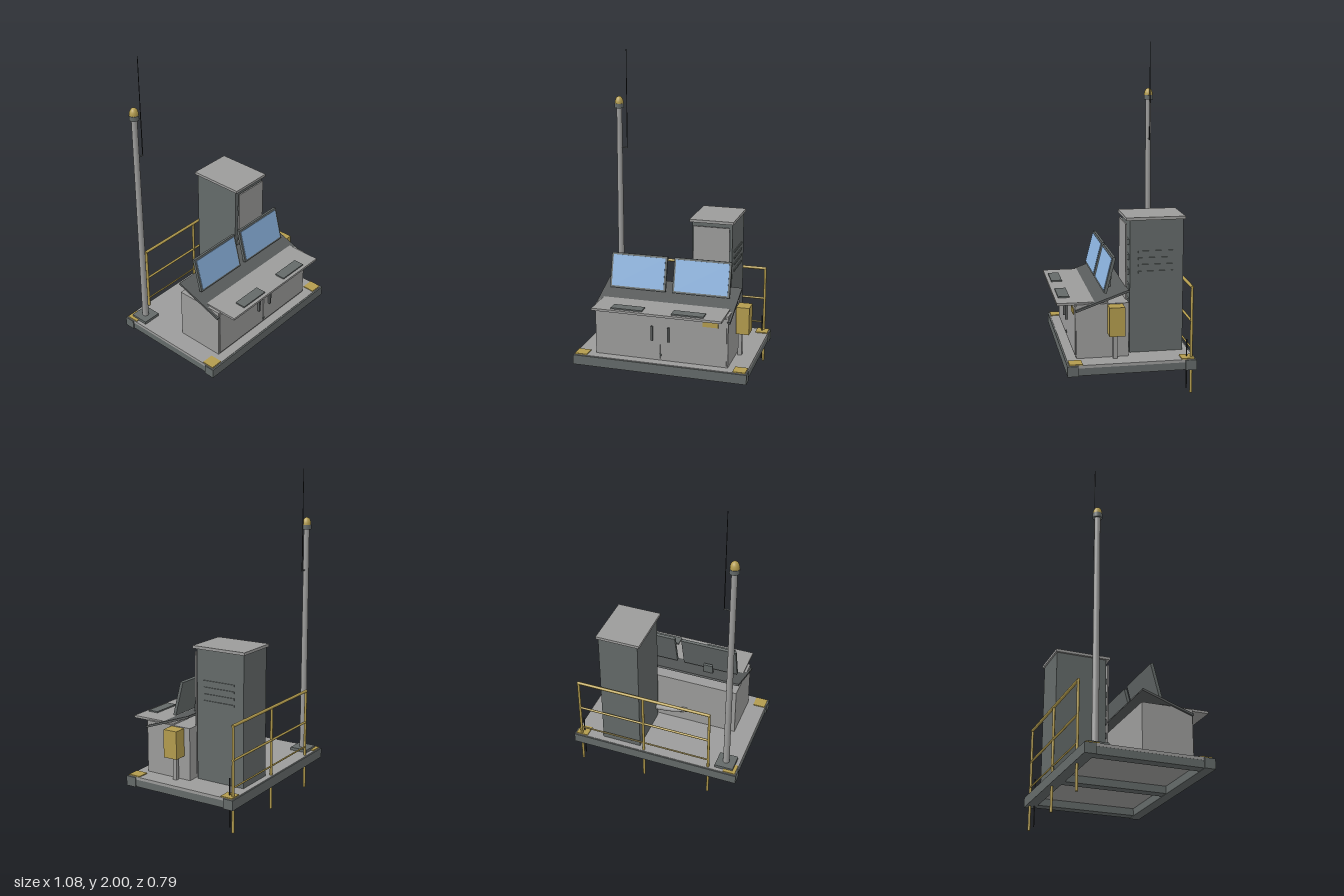
import * as THREE from 'three';

export function createModel() {
  const root = new THREE.Group();
  root.name = 'controlStation';

  const mat = (name, color) => {
    const m = new THREE.MeshStandardMaterial({ color });
    m.name = name;
    return m;
  };
  const light = mat('light grey paint', 0x9c9c9b);
  const dark = mat('dark grey steel', 0x646a69);
  const slate = mat('slate panel', 0x585b5b);
  const yellow = mat('safety yellow', 0xb39c4e);
  const blue = mat('screen blue', 0x8cb4e0);
  const black = mat('black', 0x26282a);

  const add = (name, geo, material, parent = root) => {
    const m = new THREE.Mesh(geo, material);
    m.name = name;
    parent.add(m);
    return m;
  };
  // Box given by its limits on each axis
  const box = (name, material, [x0, x1], [y0, y1], [z0, z1], parent = root) => {
    const m = add(name, new THREE.BoxGeometry(x1 - x0, y1 - y0, z1 - z0), material, parent);
    m.position.set((x0 + x1) / 2, (y0 + y1) / 2, (z0 + z1) / 2);
    return m;
  };
  // Round bar between two points
  const bar = (name, material, a, b, r0, r1 = r0, sides = 16) => {
    const p = new THREE.Vector3(...a), q = new THREE.Vector3(...b);
    const d = q.clone().sub(p);
    const m = add(name, new THREE.CylinderGeometry(r1, r0, d.length(), sides), material);
    m.position.copy(p).add(q).multiplyScalar(0.5);
    m.quaternion.setFromUnitVectors(new THREE.Vector3(0, 1, 0), d.normalize());
    return m;
  };

  // Skid: long beams, cross beams and deck
  box('frontBeam', dark, [-0.54, 0.54], [0.15, 0.21], [0.288, 0.353]);
  box('backBeam', dark, [-0.54, 0.54], [0.15, 0.21], [-0.396, -0.331]);
  for (const x of [-0.5, 0, 0.5])
    box('crossBeam', dark, [x - 0.032, x + 0.032], [0.152, 0.2], [-0.331, 0.288]);
  box('deck', light, [-0.533, 0.533], [0.196, 0.213], [-0.388, 0.344]);
  for (const x of [-0.492, 0.492])
    for (const z of [-0.347, 0.303])
      box('cornerPlate', yellow, [x - 0.038, x + 0.038], [0.213, 0.219], [z - 0.038, z + 0.038]);

  // Railing along the back
  const railZ = -0.372;
  for (const x of [-0.355, 0.071, 0.497])
    bar('railPost', yellow, [x, 0, railZ], [x, 0.635, railZ], 0.008);
  for (const [y, r] of [[0.632, 0.009], [0.43, 0.007], [0.268, 0.005]])
    bar('rail', yellow, [-0.36, y, railZ], [0.503, y, railZ], r);
  bar('groundRod', black, [0.49, 0.025, -0.346], [0.49, 0.32, -0.346], 0.004);

  // Mast with beacon and whip antenna
  const mx = -0.452, mz = -0.306;
  box('mastFoot', dark, [mx - 0.058, mx + 0.058], [0.213, 0.231], [mz - 0.058, mz + 0.058]);
  bar('mast', light, [mx, 0.23, mz], [mx, 1.635, mz], 0.02, 0.017, 24);
  bar('beaconCollar', dark, [mx, 1.632, mz], [mx, 1.66, mz], 0.029, 0.029, 24);
  const dome = [[0.027, 0], [0.027, 0.012], [0.024, 0.025], [0.018, 0.037], [0.01, 0.044], [0, 0.047]];
  add('beacon', new THREE.LatheGeometry(dome.map(p => new THREE.Vector2(...p)), 24), yellow)
    .position.set(mx, 1.659, mz);
  bar('antennaArm', dark, [mx, 1.38, mz], [-0.4, 1.38, mz], 0.004);
  bar('antenna', black, [-0.402, 1.375, mz], [-0.402, 2, mz], 0.003, 0.002, 8);

  // Tall cabinet
  box('cabinetBody', dark, [0.105, 0.355], [0.213, 1.003], [-0.352, -0.036]);
  box('cabinetRoof', light, [0.091, 0.366], [1.003, 1.02], [-0.362, -0.013]);
  box('cabinetDoor', light, [0.117, 0.343], [0.235, 0.98], [-0.022, -0.013]);
  for (let i = 0; i < 8; i++) {
    const y = 0.255 + i * 0.088;
    box('doorSpacer', dark, [0.125, 0.335], [y - 0.016, y + 0.016], [-0.036, -0.022]);
  }
  for (let i = 0; i < 4; i++) {
    const y = 0.69 + i * 0.04;
    box('sideLouver', dark, [0.355, 0.361], [y, y + 0.012], [-0.29, -0.085]);
  }

  // Console cupboard and worktop
  box('consoleBody', light, [-0.413, 0.413], [0.213, 0.533], [-0.02, 0.286]);
  box('worktop', light, [-0.397, 0.397], [0.528, 0.542], [0.1, 0.395]);
  for (const s of [-1, 1]) {
    const span = (a, b) => (s > 0 ? [a, b] : [-b, -a]);
    box('consoleDoor', light, span(0.003, 0.405), [0.225, 0.52], [0.286, 0.292]);
    box('doorHandle', slate, span(0.045, 0.058), [0.34, 0.43], [0.292, 0.307]);
    box('keyboard', dark, span(0.09, 0.283), [0.542, 0.55], [0.308, 0.374]);
  }
  box('doorLatch', dark, [-0.006, 0.006], [0.243, 0.257], [0.292, 0.297]);
  box('labelPlate', yellow, [0.26, 0.355], [0.46, 0.495], [0.292, 0.297]);

  // Sloping instrument panel
  const panel = add('slopedPanel', new THREE.BoxGeometry(0.85, 0.013, 0.328), slate);
  panel.position.set(0, 0.55, 0.135);
  panel.rotation.x = Math.atan2(0.11, 0.31);

  // Two tilted monitors on short stands
  for (const x of [-0.2, 0.2]) {
    const monitor = new THREE.Group();
    monitor.name = 'monitor';
    monitor.position.set(x, 0.689, 0.085);
    monitor.rotation.x = -0.25;
    root.add(monitor);
    box('monitorCase', dark, [-0.178, 0.178], [-0.108, 0.108], [-0.009, 0.009], monitor);
    box('screen', blue, [-0.166, 0.166], [-0.096, 0.096], [0.009, 0.012], monitor);
    const stand = box('monitorStand', dark, [x - 0.03, x + 0.03], [0.56, 0.645], [0.055, 0.071]);
    stand.rotation.x = -0.12;
  }

  // Junction box on a post beside the console
  box('junctionPost', light, [0.425, 0.449], [0.213, 0.36], [0.052, 0.076]);
  box('junctionBox', yellow, [0.418, 0.498], [0.36, 0.53], [0.016, 0.106]);

  // Conduit between console and cabinet
  const path = new THREE.CatmullRomCurve3([
    new THREE.Vector3(-0.09, 0.3, -0.02),
    new THREE.Vector3(0.01, 0.29, -0.04),
    new THREE.Vector3(0.12, 0.3, -0.065),
  ]);
  add('conduit', new THREE.TubeGeometry(path, 16, 0.016, 12), light);

  return root;
}
